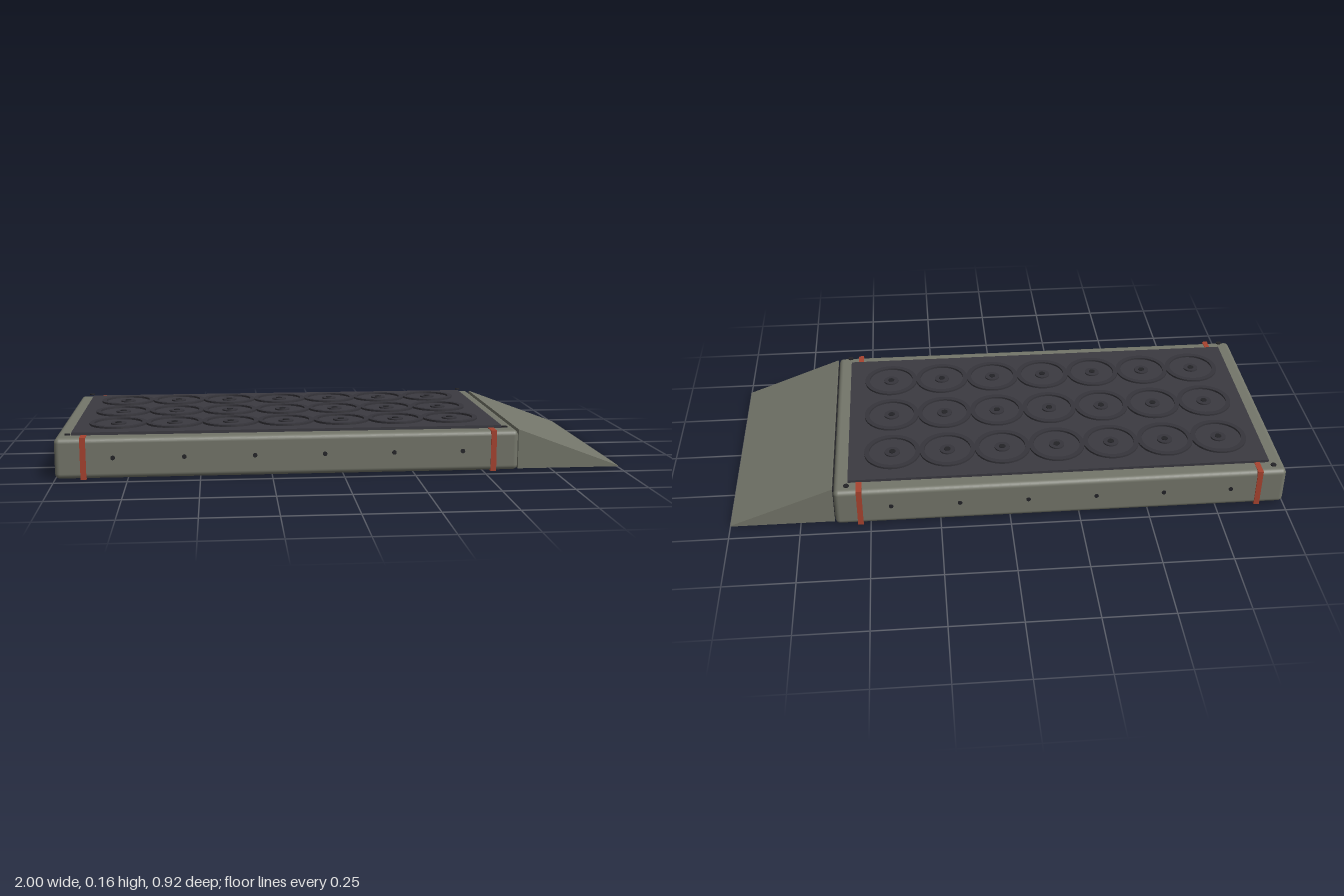
import * as THREE from 'three';
import { RoundedBoxGeometry } from 'three/addons/geometries/RoundedBoxGeometry.js';

const material = (name, color) => {
  const m = new THREE.MeshStandardMaterial({ color });
  m.name = name;
  return m;
};

export function createModel() {
  const casing = material('grey green casing', 0x74766a);
  const dark = material('charcoal panel', 0x3b3a41);
  const ringDark = material('dark ring', 0x36353b);
  const steel = material('black steel', 0x232327);
  const red = material('red strap', 0xa8432f);

  const model = new THREE.Group();
  model.name = 'padWithRamp';
  const add = (name, geometry, mat, x = 0, y = 0, z = 0, parent = model) => {
    const mesh = new THREE.Mesh(geometry, mat);
    mesh.name = name;
    mesh.position.set(x, y, z);
    parent.add(mesh);
    return mesh;
  };

  // Rounded slab, x -1 to 0.626
  const midX = -0.187;
  add('body', new RoundedBoxGeometry(1.626, 0.143, 0.912, 3, 0.018), casing, midX, 0.0735, 0);

  // Wedge ramp on the left end
  const wedge = new THREE.Shape();
  wedge.moveTo(0.63, 0.003);
  wedge.lineTo(1, 0.003);
  wedge.lineTo(1, 0.006);
  wedge.lineTo(0.632, 0.145);
  wedge.lineTo(0.63, 0.145);
  wedge.closePath();
  const rampGeometry = new THREE.ExtrudeGeometry(wedge, { depth: 0.872, bevelEnabled: false });
  add('ramp', rampGeometry, casing, 0, 0, -0.436);
  // Recessed joint between slab and ramp
  add('rampJoint', new THREE.BoxGeometry(0.02, 0.12, 0.84), steel, 0.625, 0.072, 0);

  // Raised top panel
  add('topPanel', new THREE.BoxGeometry(1.52, 0.012, 0.8), dark, -0.185, 0.149, 0);

  // Straps wrapping the slab near both ends
  for (const x of [-0.902, 0.536]) {
    add('strap', new THREE.BoxGeometry(0.02, 0.147, 0.917), red, x, 0.0735, 0);
  }

  // Ring emitters in a 7 by 3 grid
  const rim = [[0.085, 0], [0.1025, 0], [0.1025, 0.007], [0.085, 0.007], [0.085, 0]];
  const rimGeometry = new THREE.LatheGeometry(rim.map(([r, y]) => new THREE.Vector2(r, y)), 40);
  const sharpRim = rimGeometry.toNonIndexed();
  sharpRim.computeVertexNormals();
  const hubGeometry = new THREE.CylinderGeometry(0.028, 0.028, 0.006, 24);
  const pinGeometry = new THREE.CylinderGeometry(0.012, 0.012, 0.007, 16);
  for (let col = 0; col < 7; col++) {
    for (let row = -1; row <= 1; row++) {
      const emitter = new THREE.Group();
      emitter.name = 'ringEmitter';
      emitter.position.set(-0.794 + col * 0.2015, 0.155, row * 0.243);
      add('ring', sharpRim, ringDark, 0, 0, 0, emitter);
      add('hub', hubGeometry, ringDark, 0, 0.002, 0, emitter);
      add('pin', pinGeometry, steel, 0, 0.0035, 0, emitter);
      model.add(emitter);
    }
  }

  const boltGeometry = new THREE.CylinderGeometry(0.01, 0.01, 0.004, 16);
  const screwGeometry = new THREE.CylinderGeometry(0.008, 0.008, 0.006, 16);
  for (const side of [-1, 1]) {
    // Corner bolts, standing just above the rim
    for (const x of [-0.954, 0.579]) add('cornerBolt', boltGeometry, steel, x, 0.155, side * 0.43);
    // Screws along the long sides
    for (let i = 0; i < 6; i++) {
      const screw = add('sideScrew', screwGeometry, steel, -0.8 + i * 0.245, 0.075, side * 0.456);
      screw.rotation.x = Math.PI / 2;
    }
  }
  return model;
}
